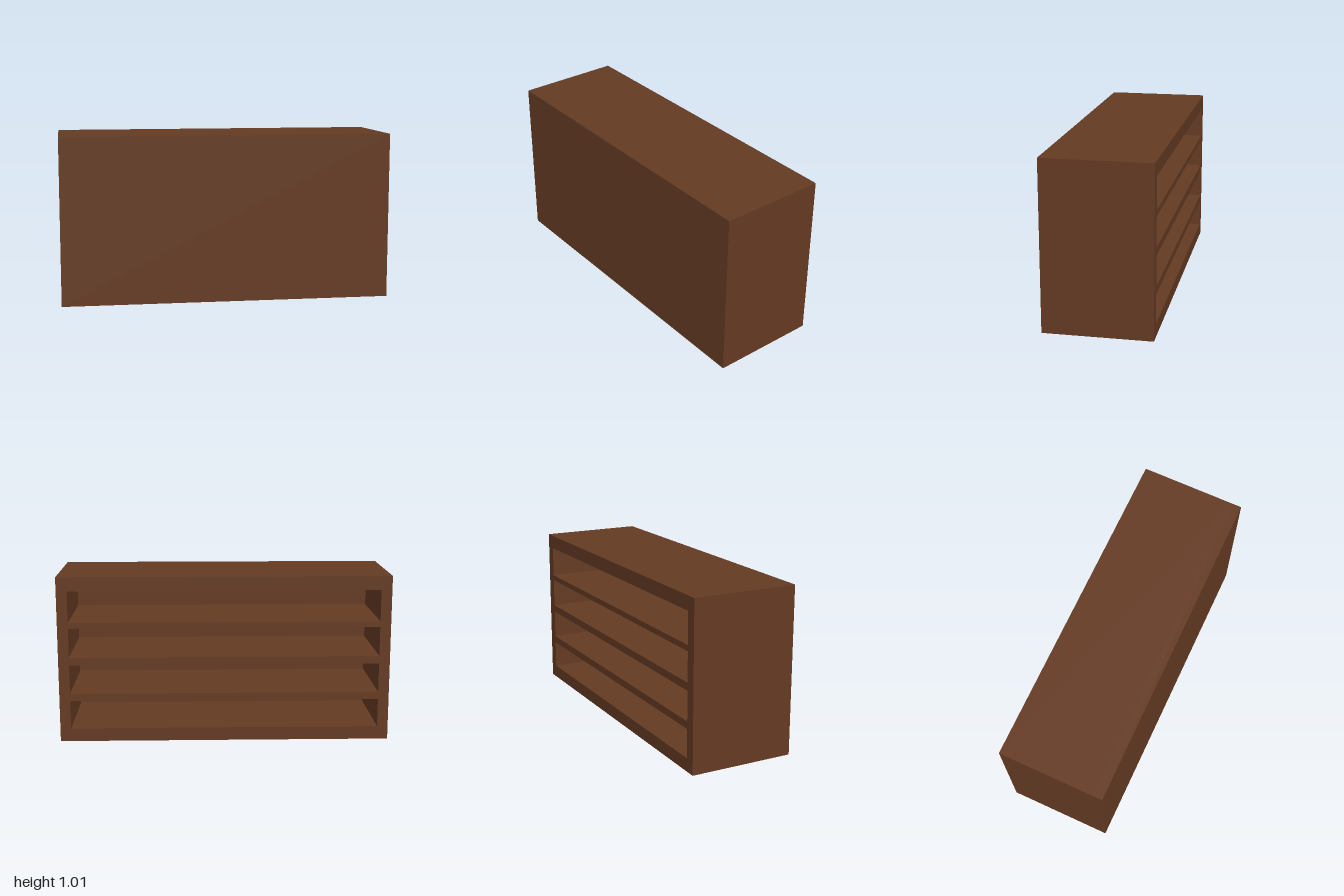
import * as THREE from 'three';

const WIDTH = 2, HEIGHT = 1.01, DEPTH = 0.64;
const SIDE = 0.065; // side board thickness
const PANEL = 0.06; // front panel thickness

// Bottom and top height of each open compartment
const SLOTS = [[0.08, 0.253], [0.298, 0.476], [0.522, 0.7], [0.735, 0.925]];

// Adds a rectangle to a shape or path
function rect(path, x0, y0, x1, y1) {
  path.moveTo(x0, y0);
  path.lineTo(x1, y0);
  path.lineTo(x1, y1);
  path.lineTo(x0, y1);
  path.closePath();
  return path;
}

export function createModel() {
  const group = new THREE.Group();
  group.name = 'shelfUnit';

  const wood = new THREE.MeshStandardMaterial({ color: 0x653b23 });
  wood.name = 'dark brown wood';

  // Frame and shelves, open toward the back
  const outline = rect(new THREE.Shape(), -WIDTH / 2, 0, WIDTH / 2, HEIGHT);
  for (const [y0, y1] of SLOTS) {
    outline.holes.push(rect(new THREE.Path(), -WIDTH / 2 + SIDE, y0, WIDTH / 2 - SIDE, y1));
  }
  const carcass = new THREE.Mesh(
    new THREE.ExtrudeGeometry(outline, { depth: DEPTH - PANEL, bevelEnabled: false }), wood);
  carcass.name = 'shelfFrame';
  carcass.position.z = -DEPTH / 2;
  group.add(carcass);

  // Solid panel closing the front
  const panel = new THREE.Mesh(new THREE.BoxGeometry(WIDTH, HEIGHT, PANEL), wood);
  panel.name = 'frontPanel';
  panel.position.set(0, HEIGHT / 2, DEPTH / 2 - PANEL / 2);
  group.add(panel);

  return group;
}
